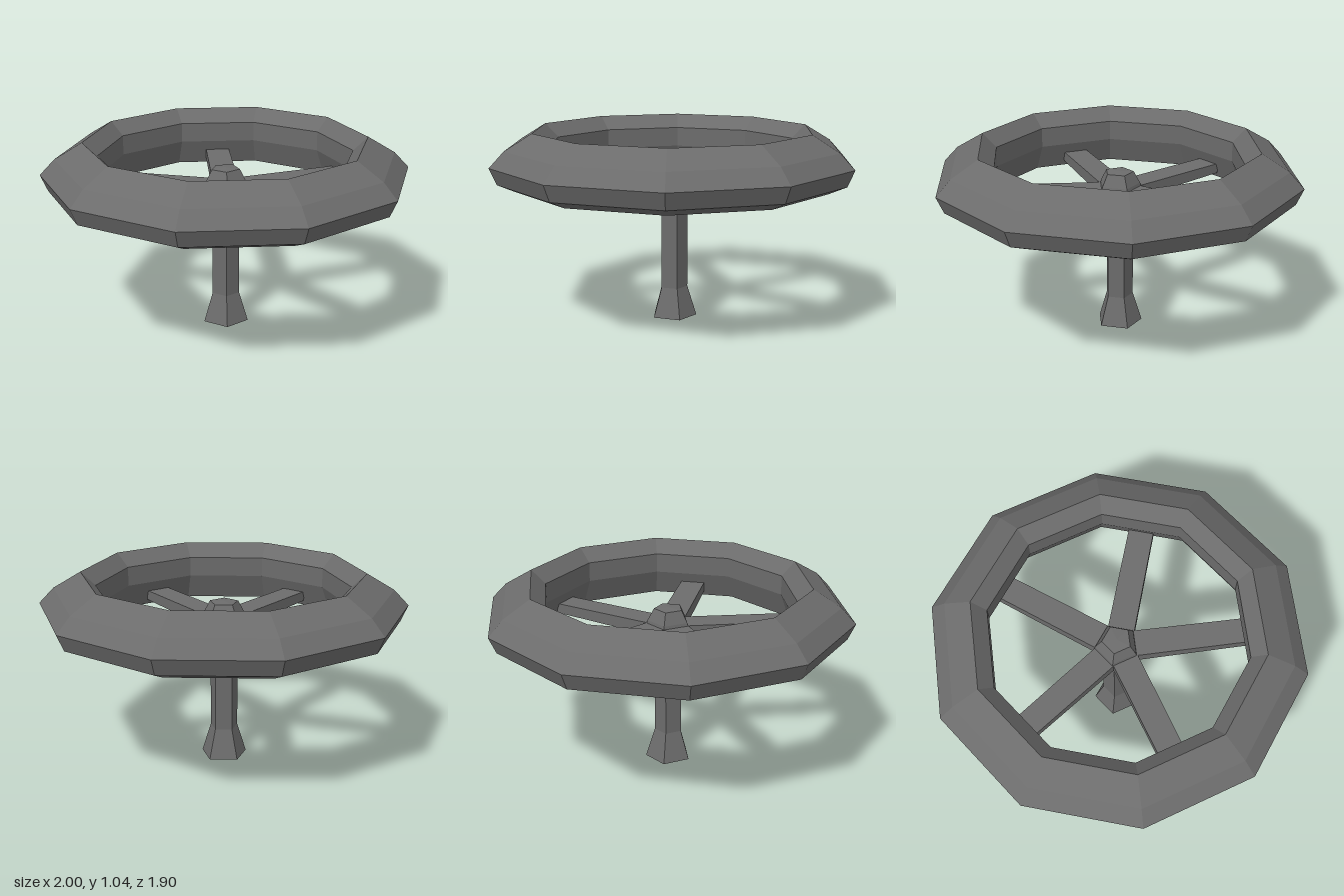
import * as THREE from 'three';

const material = new THREE.MeshStandardMaterial({ color: 0x6c6c6c, flatShading: true });

// Faceted solid of revolution from [radius, height] pairs
function turned(name, profile, sides, start) {
  const points = profile.map(([r, y]) => new THREE.Vector2(r, y));
  const mesh = new THREE.Mesh(new THREE.LatheGeometry(points, sides, start), material);
  mesh.name = name;
  return mesh;
}

// Bar running out along +z, with a flat top, slightly slimmer at its outer end
function spokeGeometry(inner, outer, top, innerSize, outerSize) {
  const geo = new THREE.BoxGeometry(1, 1, outer - inner);
  geo.translate(0, -0.5, (inner + outer) / 2);
  const pos = geo.attributes.position;
  for (let i = 0; i < pos.count; i++) {
    const [width, height] = pos.getZ(i) < (inner + outer) / 2 ? innerSize : outerSize;
    pos.setX(i, pos.getX(i) * width);
    pos.setY(i, top + pos.getY(i) * height);
  }
  geo.computeVertexNormals();
  return geo;
}

export function createModel() {
  const model = new THREE.Group();
  model.name = 'handwheel';

  // Ten-sided rim with a closed, rounded section
  model.add(turned('rim', [
    [0.745, 0.718], [0.86, 0.737], [0.96, 0.78], [1.0, 0.87], [0.92, 0.955],
    [0.77, 1.045], [0.69, 0.97], [0.69, 0.86], [0.745, 0.718],
  ], 10, Math.PI / 2));

  // Five-sided stem with flared foot, widening into the hub
  const stem = turned('stemAndHub', [
    [0, 0], [0.129, 0], [0.078, 0.165], [0.078, 0.64], [0.113, 0.73],
    [0.12, 0.8], [0.115, 0.82], [0.08, 0.885], [0, 0.89],
  ], 5, 0);
  stem.position.set(-0.004, 0, -0.004);
  model.add(stem);

  // Five spokes leaving the flat sides of the hub
  const spokes = new THREE.Group();
  spokes.name = 'spokes';
  const geo = spokeGeometry(0.06, 0.69, 0.803, [0.142, 0.07], [0.136, 0.055]);
  for (let i = 0; i < 5; i++) {
    const spoke = new THREE.Mesh(geo, material);
    spoke.name = 'spoke';
    spoke.rotation.y = (i + 0.5) * Math.PI * 2 / 5;
    spokes.add(spoke);
  }
  model.add(spokes);

  return model;
}
